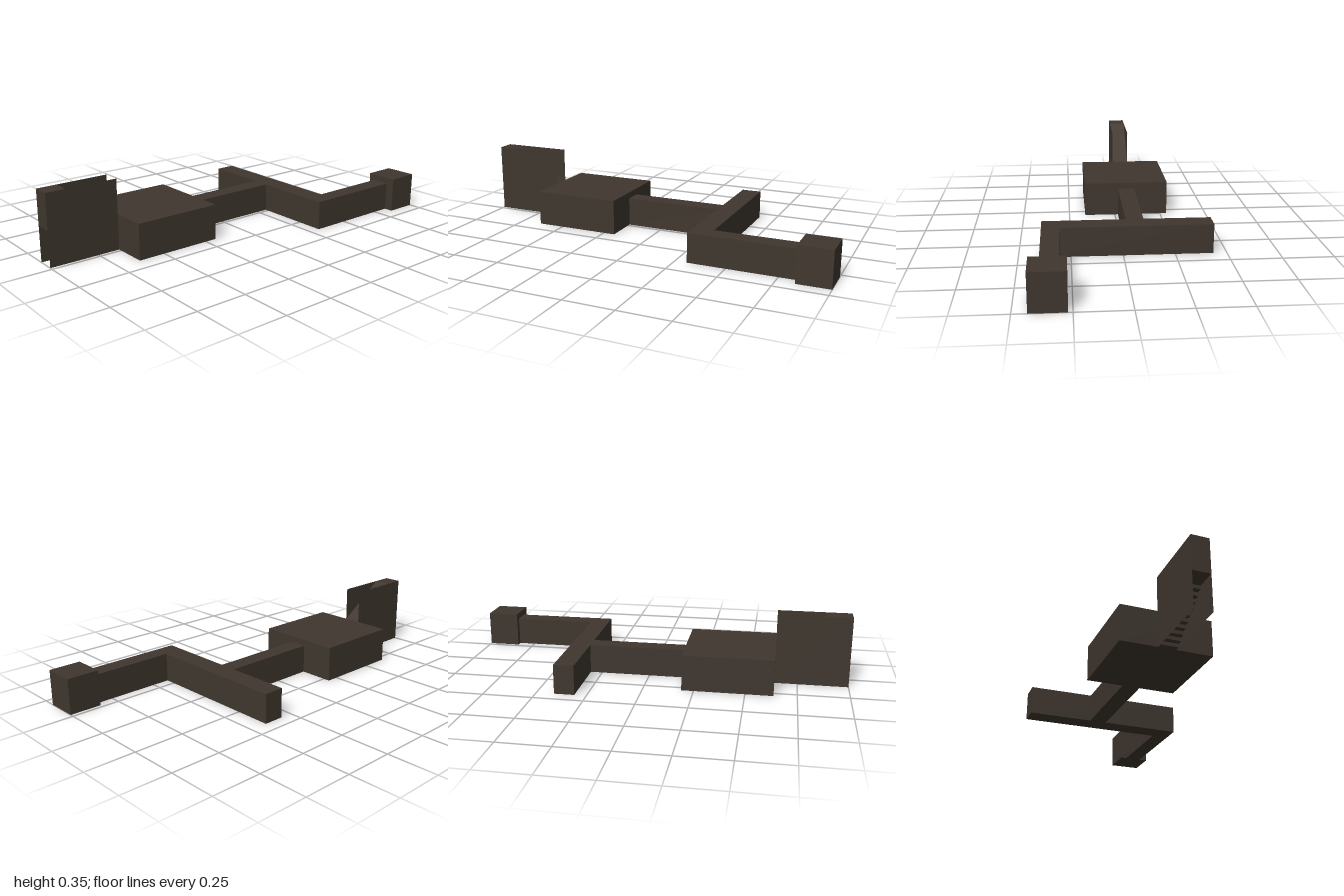
import * as THREE from 'three';

const stone = new THREE.MeshStandardMaterial({ color: 0x40372f, side: THREE.DoubleSide });
stone.name = 'dark stone';

// Box standing on the ground, given by its extents in x and z
function block(name, x0, x1, z0, z1, height) {
  const mesh = new THREE.Mesh(new THREE.BoxGeometry(x1 - x0, height, z1 - z0), stone);
  mesh.name = name;
  mesh.position.set((x0 + x1) / 2, height / 2, (z0 + z1) / 2);
  return mesh;
}

// Stair passage: stepped underside, flat landing, sloping roof, tall side walls
function createEntrance(x0, x1, zBack, zFront) {
  const group = new THREE.Group();
  group.name = 'entrance';
  const steps = 10, rise = 0.18, top = 0.355, zLanding = 0.9;

  const profile = new THREE.Shape();
  profile.moveTo(zBack, 0);
  for (let i = 1; i <= steps; i++) {
    const z = zBack + (zLanding - zBack) * i / steps;
    profile.lineTo(z, rise * (i - 1) / steps);
    profile.lineTo(z, rise * i / steps);
  }
  profile.lineTo(zFront, rise);
  profile.lineTo(zFront, top);
  profile.lineTo(zLanding, top);
  profile.lineTo(zBack, rise);
  const geometry = new THREE.ExtrudeGeometry(profile, { depth: x1 - x0 - 0.002, bevelEnabled: false });
  geometry.rotateY(-Math.PI / 2);
  geometry.translate(x1 - 0.001, 0, 0);
  const passage = new THREE.Mesh(geometry, stone);
  passage.name = 'stairPassage';
  group.add(passage);

  for (const [name, x, turn] of [['leftWall', x1, 1], ['rightWall', x0, -1]]) {
    const wall = new THREE.Mesh(new THREE.PlaneGeometry(zFront - zBack, top), stone);
    wall.name = name;
    wall.rotation.y = turn * Math.PI / 2;
    wall.position.set(x, top / 2, (zFront + zBack) / 2);
    group.add(wall);
  }
  return group;
}

export function createModel() {
  const model = new THREE.Group();
  model.name = 'undergroundChambers';
  model.add(
    createEntrance(-0.105, -0.017, 0.637, 1),
    block('mainHall', -0.285, 0.163, 0.19, 0.637, 0.18),
    block('mainCorridor', -0.105, -0.017, -0.31, 0.19, 0.147),
    block('crossCorridor', -0.434, 0.389, -0.411, -0.31, 0.147),
    block('sideCorridor', 0.301, 0.389, -0.837, -0.411, 0.147),
    block('endRoom', 0.27, 0.434, -1, -0.837, 0.18)
  );
  return model;
}
